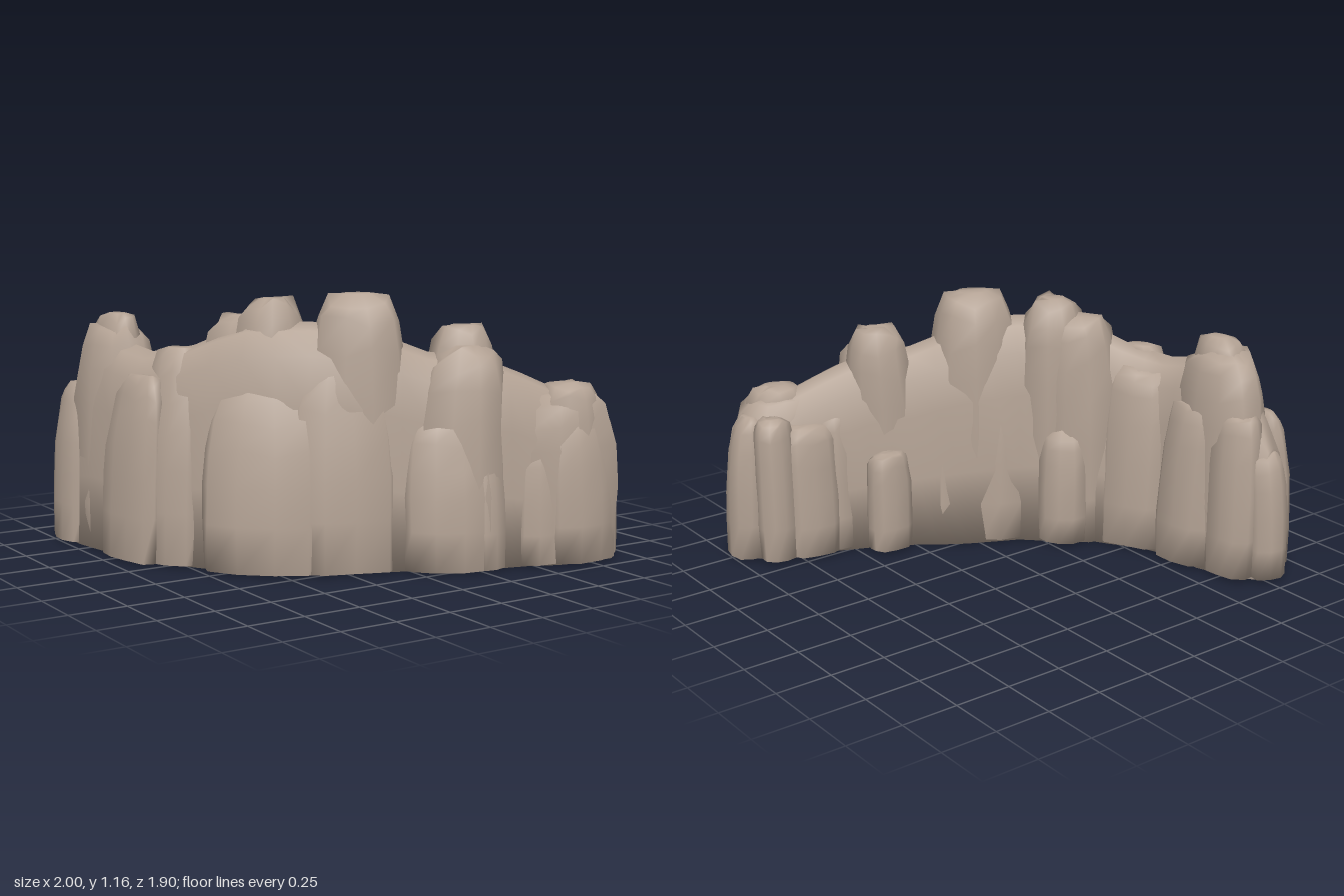
import * as THREE from 'three';

const stone = new THREE.MeshStandardMaterial({ color: 0xb3a294 });
stone.name = 'stone';

// small seeded random generator
function seeded(seed) {
  let s = seed * 7919 + 17;
  return () => {
    s = (s * 16807) % 2147483647;
    return s / 2147483647;
  };
}

// skin a list of closed rings of points and close both ends, with soft normals all over
function loft(rings) {
  const n = rings[0].length, last = (rings.length - 1) * n;
  const pos = [], index = [];
  rings.forEach((ring) => ring.forEach((p) => pos.push(p.x, p.y, p.z)));
  for (let i = 0; i < last; i += n) {
    for (let j = 0; j < n; j++) {
      const a = i + j, b = i + (j + 1) % n;
      index.push(a, a + n, b, b, a + n, b + n);
    }
  }
  for (let j = 1; j < n - 1; j++) {
    index.push(0, j, j + 1, last, last + j + 1, last + j);
  }
  const g = new THREE.BufferGeometry();
  g.setAttribute('position', new THREE.Float32BufferAttribute(pos, 3));
  g.setIndex(index);
  g.computeVertexNormals();
  return g;
}

// column profiles as height fraction and radius
const SIDES = 11;
const DOMED = [[0, 0.96], [0.2, 1], [0.45, 1], [0.66, 0.95], [0.8, 0.87], [0.91, 0.76], [0.975, 0.58], [1, 0.28]];
const SLOPED = [[0, 0.98], [0.25, 1], [0.45, 1], [0.62, 0.96], [0.76, 0.88], [0.88, 0.76], [0.96, 0.6], [1, 0.35]];
const BLOCKY = [[0, 0.96], [0.25, 1], [0.5, 1], [0.72, 0.98], [0.87, 0.93], [0.95, 0.84], [0.99, 0.65], [1, 0.35]];

// weathered column with a blocky oval footprint; feet are staggered a hair so they never coincide
function column([x, z, len, wid, deg, h, leanX = 0, leanZ = 0], profile, seed) {
  const rnd = seeded(seed);
  const ridge = Array.from({ length: SIDES }, () => 0.9 + 0.16 * rnd());
  const turn = THREE.MathUtils.degToRad(deg);
  const rings = profile.map(([t, r]) => ridge.map((k, j) => {
    const a = (j / SIDES) * Math.PI * 2 + 0.2;
    const c = Math.cos(a), s = Math.sin(a);
    const block = Math.pow(Math.abs(c) ** 2.6 + Math.abs(s) ** 2.6, -1 / 2.6);
    const m = r * k * block * (0.97 + 0.06 * rnd());
    const u = c * m * len, v = s * m * wid;
    const drop = t > 0.5 && t < 1 ? (rnd() - 0.5) * 0.06 * h : 0;
    return new THREE.Vector3(
      x + u * Math.cos(turn) - v * Math.sin(turn) + leanX * t * t,
      Math.max(h * t + drop, 0.0002 * seed),
      z + u * Math.sin(turn) + v * Math.cos(turn) + leanZ * t * t);
  }));
  return loft(rings);
}

// wall stations along the arc: x, z, half width, height
const WALL = [
  [-0.81, -0.86, 0.09, 0.6], [-0.79, -0.7, 0.16, 0.82], [-0.77, -0.5, 0.17, 0.93],
  [-0.73, -0.28, 0.17, 0.89], [-0.63, -0.08, 0.18, 0.93], [-0.47, 0.12, 0.19, 1.03],
  [-0.27, 0.28, 0.2, 1.04], [-0.04, 0.4, 0.2, 1.0], [0.16, 0.52, 0.18, 0.91],
  [0.36, 0.62, 0.18, 0.88], [0.54, 0.68, 0.17, 0.81], [0.76, 0.75, 0.16, 0.7], [0.9, 0.76, 0.1, 0.58],
];
const SECTION = [[0, 1], [0.4, 0.97], [0.7, 0.87], [0.88, 0.68], [0.97, 0.35], [1, 0],
  [-1, 0], [-0.97, 0.35], [-0.88, 0.68], [-0.7, 0.87], [-0.4, 0.97]];

function wall() {
  const rnd = seeded(5);
  const path = new THREE.CatmullRomCurve3(WALL.map(([x, z]) => new THREE.Vector3(x, 0, z)));
  const sizes = new THREE.CatmullRomCurve3(WALL.map(([, , w, h]) => new THREE.Vector3(w, h, 0)));
  const rings = [];
  for (let i = 0; i <= 24; i++) {
    const p = path.getPoint(i / 24), t = path.getTangent(i / 24), q = sizes.getPoint(i / 24);
    rings.push(SECTION.map(([s, y]) => {
      const d = s * q.x * (0.94 + 0.12 * rnd());
      return new THREE.Vector3(p.x + t.z * d, y * q.y, p.z - t.x * d);
    }));
  }
  return loft(rings);
}

// columns: x, z, half length, half width, turn in degrees, height, lean of top
const PEAKS = [
  [-0.77, -0.57, 0.25, 0.17, 88, 0.99, 0, 0.01],
  [-0.78, -0.56, 0.17, 0.11, 88, 1.04, 0.01, 0.03],
  [-0.46, 0.07, 0.22, 0.18, 52, 1.06, 0.02, -0.01],
  [-0.4, 0.15, 0.18, 0.17, 45, 1.135, 0.03, -0.01],
  [-0.1, 0.38, 0.23, 0.19, 28, 1.16, 0, 0],
  [0.25, 0.62, 0.21, 0.17, 25, 0.94, 0.04, 0],
  [0.28, 0.57, 0.17, 0.15, 25, 1.02, 0.04, -0.01],
  [0.71, 0.75, 0.26, 0.18, 12, 0.73, 0, 0],
  [0.72, 0.77, 0.17, 0.14, 12, 0.77, 0, 0.01],
];
const OUTER = [
  [-0.92, -0.71, 0.14, 0.08, 90, 0.72, 0.03],
  [-0.88, -0.21, 0.19, 0.07, 80, 0.8, 0.06],
  [-0.75, -0.07, 0.17, 0.11, 65, 0.92, 0.07, -0.05],
  [-0.51, 0.3, 0.28, 0.12, 42, 0.82, 0.06, -0.08],
  [-0.24, 0.47, 0.24, 0.11, 24, 0.9, 0.04, -0.08],
  [0.16, 0.69, 0.21, 0.11, 26, 0.7, 0.03, -0.07],
  [0.3, 0.74, 0.1, 0.1, 10, 0.64, 0.01, -0.06],
  [0.56, 0.82, 0.13, 0.07, 12, 0.54, 0.01, -0.03],
  [0.74, 0.84, 0.19, 0.11, 0, 0.67, -0.01, -0.03],
  [0.9, 0.76, 0.1, 0.12, 20, 0.66, -0.03, 0],
];
const INNER = [
  [-0.8, -0.85, 0.1, 0.1, 90, 0.58, 0, 0.05],
  [-0.69, -0.75, 0.12, 0.09, 80, 0.75, -0.04, 0.04],
  [-0.64, -0.51, 0.16, 0.1, 80, 0.76, -0.06, 0],
  [-0.58, -0.22, 0.18, 0.11, 62, 0.84, -0.06, 0.03],
  [-0.34, 0.01, 0.12, 0.11, 45, 0.54, -0.02, 0.02],
  [-0.13, 0.23, 0.17, 0.1, 25, 0.78, -0.03, 0.04],
  [0.1, 0.36, 0.11, 0.09, 30, 0.8, -0.03, 0.04],
  [0.36, 0.4, 0.11, 0.07, 5, 0.47, 0, 0.01],
  [0.53, 0.59, 0.11, 0.1, 20, 0.65, 0, 0.03],
  [0.67, 0.57, 0.14, 0.09, 10, 0.62, 0, 0.03],
  [0.83, 0.61, 0.09, 0.08, 0, 0.67, 0, 0.02],
];

export function createModel() {
  const model = new THREE.Group();
  model.name = 'rockWall';
  const add = (parent, geometry, name) => {
    const mesh = new THREE.Mesh(geometry, stone);
    mesh.name = name;
    parent.add(mesh);
  };
  add(model, wall(), 'wallCore');
  const sets = [['peak', PEAKS, DOMED], ['outerButtress', OUTER, SLOPED], ['innerButtress', INNER, BLOCKY]];
  sets.forEach(([name, list, profile], k) => {
    const group = new THREE.Group();
    group.name = name + 'Group';
    list.forEach((spec, i) => add(group, column(spec, profile, 31 * k + i + 3), name + (i + 1)));
    model.add(group);
  });
  return model;
}
